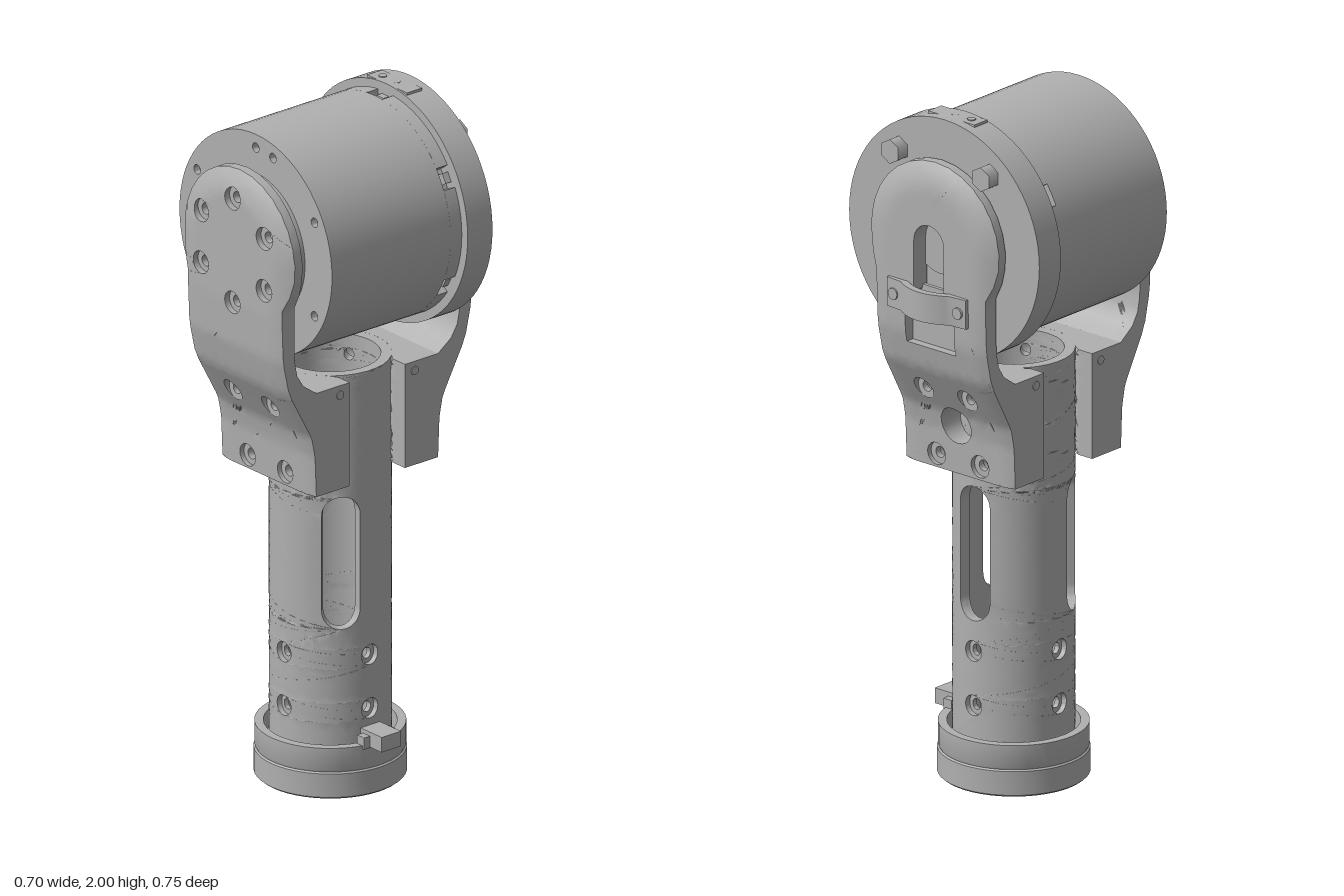
import * as THREE from 'three';
import { toCreasedNormals } from 'three/addons/utils/BufferGeometryUtils.js';

const metal = new THREE.MeshStandardMaterial({ color: 0xb0b0b0 });
metal.name = 'grey metal';
const AXIS_Y = 1.65, TUBE_Z = 0.02, TUBE_R = 0.17;

function add(parent, name, geometry, x = 0, y = 0, z = 0) {
  const mesh = new THREE.Mesh(geometry, metal);
  mesh.name = name;
  mesh.position.set(x, y, z);
  parent.add(mesh);
  return mesh;
}

const circle = (x, y, r) => new THREE.Path().absarc(x, y, r, 0, Math.PI * 2, true);

function rectangle(x0, y0, x1, y1) {
  return new THREE.Shape([[x0, y0], [x1, y0], [x1, y1], [x0, y1]].map(p => new THREE.Vector2(...p)));
}

function extrude(shape, depth, curveSegments = 16) {
  return new THREE.ExtrudeGeometry(shape, { depth, bevelEnabled: false, curveSegments });
}

// Cylinder along z between two depths
function disc(parent, name, r, z0, z1, x = 0, y = AXIS_Y, sides = 72) {
  const g = new THREE.CylinderGeometry(r, r, z1 - z0, sides).rotateX(Math.PI / 2);
  return add(parent, name, g, x, y, (z0 + z1) / 2);
}

// Flat washer-like ring that seats a screw
function socket(parent, x, y, z) {
  const s = new THREE.Shape().absarc(0, 0, 0.034, 0, Math.PI * 2, false);
  s.holes.push(circle(0, 0, 0.016));
  add(parent, 'screwSeat', extrude(s, 0.02, 10), x, y, z);
}

// Extrude, split long edges, then move every vertex by a rule
function shaped(shape, depth, limit, rule) {
  const p = extrude(shape, depth, 10).attributes.position;
  const out = [];
  const split = (a, b, c) => {
    const t = [a, b, c];
    const len = t.map((v, i) => {
      const w = t[(i + 1) % 3];
      return Math.hypot(v.x - w.x, v.y - w.y);
    });
    const i = len.indexOf(Math.max(...len));
    if (len[i] <= limit) {
      t.forEach(v => out.push(...rule(v.x, v.y, v.z)));
      return;
    }
    const [u, v, w] = [t[i], t[(i + 1) % 3], t[(i + 2) % 3]];
    const m = u.clone().add(v).multiplyScalar(0.5);
    split(u, m, w);
    split(m, v, w);
  };
  const at = i => new THREE.Vector3().fromBufferAttribute(p, i);
  for (let i = 0; i < p.count; i += 3) split(at(i), at(i + 1), at(i + 2));
  const g = new THREE.BufferGeometry();
  g.setAttribute('position', new THREE.Float32BufferAttribute(out, 3));
  return toCreasedNormals(g, 0.6);
}

// Straight-line lookup in [y, z] pairs
function lookup(table, y) {
  let i = 1;
  while (i < table.length - 1 && y > table[i][0]) i++;
  const [[y0, z0], [y1, z1]] = [table[i - 1], table[i]];
  return z0 + (z1 - z0) * THREE.MathUtils.clamp((y - y0) / (y1 - y0), 0, 1);
}

const OUTER = [[0.94, 0.25], [1.06, 0.255], [1.12, 0.267], [1.2, 0.31], [1.27, 0.348], [1.37, 0.37], [1.5, 0.375], [2, 0.375]];
const INNER = [[1.25, 0.24], [1.28, 0.285], [1.32, 0.31], [1.37, 0.32], [2, 0.32]];

function outerZ(x, y) {
  const d = Math.hypot(x, Math.max(0, y - AXIS_Y));
  return lookup(OUTER, y) - 0.028 * THREE.MathUtils.clamp((d - 0.15) / 0.085, 0, 1) ** 2;
}

// One yoke arm: rounded upper plate and a block clamped on the tube
function yokeArm(name, rear) {
  const arm = new THREE.Group();
  arm.name = name;
  const r = 0.235, a = Math.acos(0.2 / r);
  const plate = new THREE.Shape();
  plate.moveTo(-0.2, 1.25).lineTo(0.2, 1.25);
  plate.absarc(0, AXIS_Y, r, -a, Math.PI + a, false);
  plate.closePath();
  if (rear) {
    // Arched cable window over a wider channel
    const w = new THREE.Path();
    w.moveTo(-0.09, 1.34).lineTo(-0.09, 1.46).lineTo(-0.055, 1.5).lineTo(-0.055, 1.65);
    w.absarc(0, 1.65, 0.055, Math.PI, 0, true);
    w.lineTo(0.055, 1.5).lineTo(0.09, 1.46).lineTo(0.09, 1.34);
    plate.holes.push(w);
    add(arm, 'channelFloor', new THREE.BoxGeometry(0.2, 0.18, 0.012), 0, 1.42, 0.332);
  } else {
    for (let i = 0; i < 6; i++) {
      const t = Math.PI / 2 + i * Math.PI / 3;
      const x = 0.155 * Math.cos(t), y = AXIS_Y + 0.155 * Math.sin(t);
      plate.holes.push(circle(x, y, 0.033));
      socket(arm, x, y, 0.337);
    }
  }
  add(arm, 'armPlate', shaped(plate, 1, 0.035, (x, y, t) =>
    [x, y, THREE.MathUtils.lerp(lookup(INNER, y), outerZ(x, y), t)]));

  const block = rectangle(-0.2, 0.94, 0.2, 1.25);
  for (const x of [-0.08, 0.08]) for (const y of [0.98, 1.19]) {
    block.holes.push(circle(x, y, 0.033));
    socket(arm, x, y, outerZ(x, y) - 0.035);
  }
  if (rear) block.holes.push(circle(0, 1.085, 0.055));
  add(arm, 'clampBlock', shaped(block, 1, 0.03, (x, y, t) => {
    const inner = TUBE_Z + Math.max(0.1, Math.sqrt(Math.max(0, TUBE_R ** 2 - x * x)));
    return [x, y, THREE.MathUtils.lerp(inner, outerZ(x, y), t)];
  }));
  // Small set screws on the block sides
  for (const s of [-1, 1])
    add(arm, 'setScrew', new THREE.CylinderGeometry(0.013, 0.013, 0.006, 12).rotateZ(Math.PI / 2), s * 0.2, 1.222, 0.155);
  if (rear) {
    arm.rotation.y = Math.PI;
    arm.position.z = 2 * TUBE_Z;
  }
  return arm;
}

// Hollow post: two wall layers, so the screw holes are stepped
function post() {
  const g = new THREE.Group();
  g.name = 'post';
  const deg = TUBE_R * Math.PI / 180;
  for (const [r0, hole] of [[0.155, 0.03], [0.14, 0.016]]) {
    const wall = rectangle(-240 * deg, 0.06, 120 * deg, 1.25);
    for (const a of [0, 90, -90, -180]) for (const y of [0.24, 0.4]) wall.holes.push(circle(a * deg, y, hole));
    for (const a of [28, -28, -152, -208]) for (const y of [0.98, 1.19]) wall.holes.push(circle(a * deg, y, 0.018));
    for (const a of [60, -60, -180]) {
      const slot = new THREE.Path().absarc(a * deg, 0.83, 0.055, 0, Math.PI, false);
      slot.absarc(a * deg, 0.545, 0.055, Math.PI, Math.PI * 2, false);
      wall.holes.push(slot);
    }
    add(g, 'postWall', shaped(wall, 0.015, 0.04, (u, y, d) => {
      const a = u / TUBE_R;
      return [(r0 + d) * Math.sin(a), y, (r0 + d) * Math.cos(a) + TUBE_Z];
    }));
  }
  return g;
}

function base() {
  const g = new THREE.Group();
  g.name = 'base';
  const profile = (...pts) => toCreasedNormals(new THREE.LatheGeometry(pts.map(p => new THREE.Vector2(...p)), 48), 0.5);
  add(g, 'baseCap', profile([0, 0], [0.205, 0], [0.212, 0.006], [0.212, 0.076], [0.207, 0.08], [0, 0.08]), 0, 0, TUBE_Z);
  add(g, 'baseCollar', profile([0.17, 0.08], [0.207, 0.08], [0.21, 0.086], [0.21, 0.152], [0.185, 0.152], [0.182, 0.1], [0.17, 0.1]), 0, 0, TUBE_Z);
  add(g, 'latchTab', new THREE.BoxGeometry(0.09, 0.045, 0.07), 0.215, 0.167, TUBE_Z);
  for (const s of [-1, 1]) add(g, 'latchFoot', new THREE.BoxGeometry(0.03, 0.035, 0.022), 0.195, 0.16, TUBE_Z + s * 0.045);
  return g;
}

function motor() {
  const g = new THREE.Group();
  g.name = 'motor';
  disc(g, 'motorBody', 0.325, -0.14, 0.27);
  // Front cover with small screw holes
  const cover = new THREE.Shape().absarc(0, 0, 0.325, 0, Math.PI * 2, false);
  for (const [x, y] of [[0, 0.285], [0.073, 0.277], [0.25, 0.14], [-0.25, 0.14], [0.25, -0.14], [-0.25, -0.14]])
    cover.holes.push(circle(x, y, 0.014));
  add(g, 'frontCover', toCreasedNormals(extrude(cover, 0.02, 36), 0.5), 0, AXIS_Y, 0.27);
  disc(g, 'outputStep', 0.21, 0.29, 0.305);
  disc(g, 'outputDisc', 0.19, 0.305, 0.325);
  // Notched rim behind the body
  const rim = new THREE.Shape();
  for (let i = 0; i < 6; i++) {
    const t = Math.PI / 2 + i * Math.PI / 3;
    rim.absarc(0, 0, 0.29, t - 0.1, t + 0.1, false);
    rim.absarc(0, 0, 0.325, t + 0.1, t + Math.PI / 3 - 0.1, false);
  }
  add(g, 'notchedRim', toCreasedNormals(extrude(rim, 0.04, 16), 0.4), 0, AXIS_Y, -0.18);
  for (let i = 0; i < 6; i++) {
    const t = i * Math.PI / 3;
    const clip = add(g, 'rimClip', new THREE.BoxGeometry(0.03, 0.03, 0.022),
      0.3 * Math.sin(t), AXIS_Y + 0.3 * Math.cos(t), -0.171);
    clip.rotation.z = -t;
  }
  disc(g, 'rearFlange', 0.35, -0.27, -0.18);
  disc(g, 'rearHub', 0.1, -0.285, -0.27);
  // Connector plate on the flange edge
  add(g, 'connectorPlate', new THREE.BoxGeometry(0.17, 0.02, 0.055), 0, 1.987, -0.213);
  for (const x of [-0.05, 0.008])
    add(g, 'connectorScrew', new THREE.CylinderGeometry(0.012, 0.012, 0.006, 12), x, 1.997, -0.213);
  for (const s of [-1, 1]) disc(g, 'flangeNut', 0.036, -0.308, -0.27, s * 0.167, 1.875, 6);
  return g;
}

// Bowed cable strap across the rear window
function strap() {
  const g = new THREE.Group();
  g.name = 'cableStrap';
  const s = new THREE.Shape();
  s.moveTo(-0.145, 0.33).lineTo(-0.145, 0.345).lineTo(-0.09, 0.35);
  s.quadraticCurveTo(0, 0.41, 0.09, 0.35);
  s.lineTo(0.145, 0.345).lineTo(0.145, 0.33).lineTo(0.08, 0.332);
  s.quadraticCurveTo(0, 0.385, -0.08, 0.332);
  s.closePath();
  const band = extrude(s, 0.085, 16).rotateX(-Math.PI / 2);
  add(g, 'strapBand', toCreasedNormals(band, 0.5), 0, 1.438, 0);
  for (const x of [-0.118, 0.118]) disc(g, 'strapScrew', 0.017, -0.353, -0.34, x, 1.48, 12);
  return g;
}

export function createModel() {
  const model = new THREE.Group();
  model.name = 'motorOnPost';
  model.add(base(), post(), motor(), yokeArm('frontArm', false), yokeArm('rearArm', true), strap());
  return model;
}
